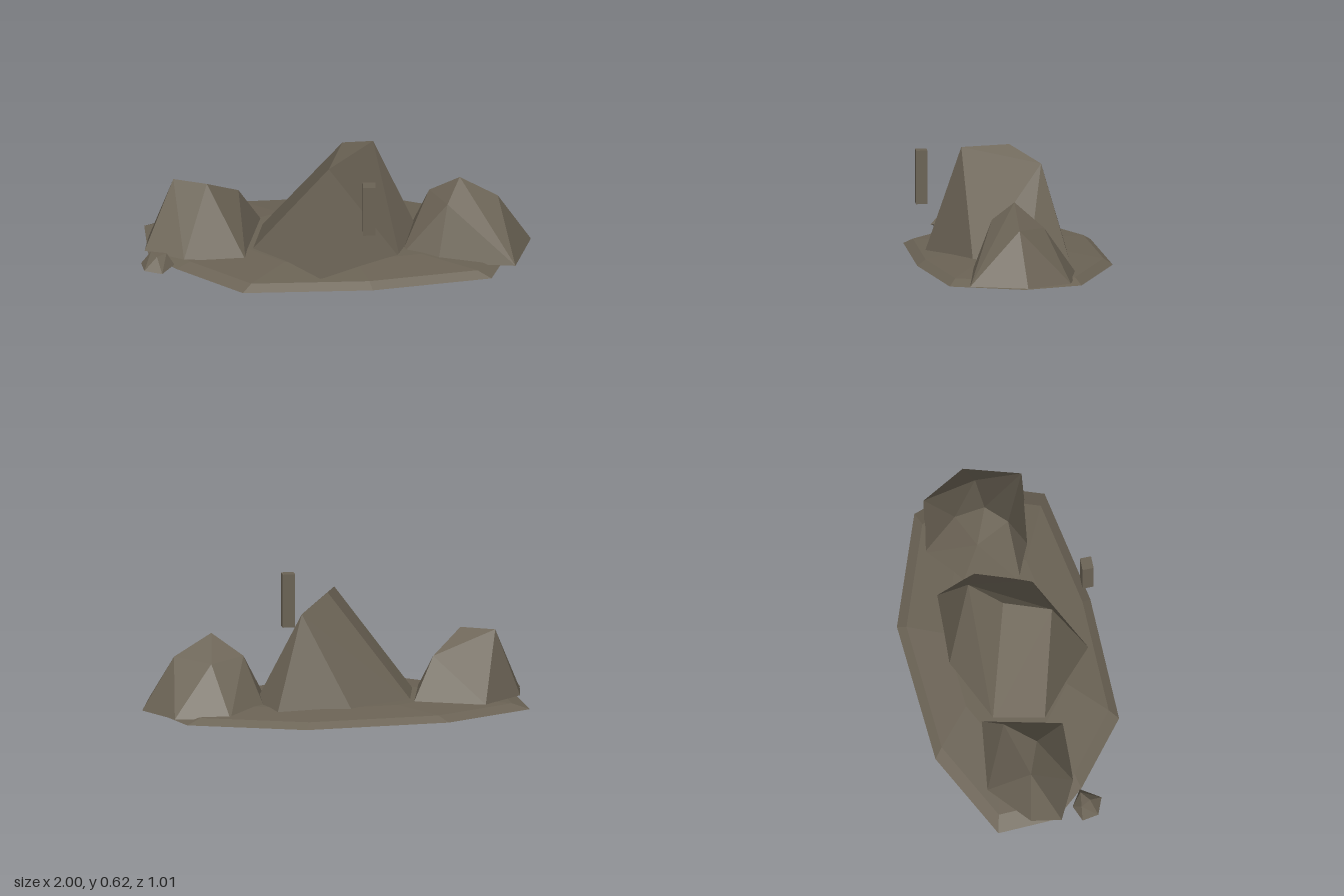
import * as THREE from 'three';
import { ConvexGeometry } from 'three/addons/geometries/ConvexGeometry.js';

export function createModel() {
  const model = new THREE.Group();
  model.name = 'rockIsland';
  const stone = new THREE.MeshStandardMaterial({ color: 0x6b6355, flatShading: true });
  stone.name = 'stone';

  const add = (name, geometry) => {
    const mesh = new THREE.Mesh(geometry, stone);
    mesh.name = name;
    model.add(mesh);
    return mesh;
  };
  // A faceted boulder: a foot ring [x, z] at one height, crown points and a buried tip
  const boulder = (name, footY, foot, crown, tip) => add(name, new ConvexGeometry([
    ...foot.map(([x, z]) => new THREE.Vector3(x, footY, z)),
    ...crown.map(p => new THREE.Vector3(...p)),
    new THREE.Vector3(...tip),
  ]));

  // Low, slightly domed ground slab
  const rim = [[-0.975, -0.225], [-0.515, -0.46], [0.23, -0.51], [0.815, -0.3], [0.92, 0],
    [0.79, 0.375], [0.18, 0.49], [-0.485, 0.505], [-0.82, 0.24], [-0.96, 0.08]];
  const slab = [];
  for (const [x, z] of rim) {
    slab.push(new THREE.Vector3(x, 0.015, z));
    slab.push(new THREE.Vector3(x * 0.91, 0.045, z * 0.91));
    slab.push(new THREE.Vector3(x * 0.55, 0.07, z * 0.55));
  }
  add('groundSlab', new ConvexGeometry(slab));

  // Tall middle boulder
  boulder('middleBoulder', 0.05,
    [[-0.085, 0.425], [-0.44, 0.125], [-0.385, -0.135], [-0.045, -0.295],
      [0.345, -0.28], [0.43, -0.06], [0.325, 0.215]],
    [[-0.04, 0.59, 0.245], [0.035, 0.615, 0.005], [0.195, 0.54, -0.145]],
    [0, 0, 0.01]);

  // Flat-topped boulder on the -x side
  boulder('rightBoulder', 0.05,
    [[-0.37, -0.2], [-0.745, -0.235], [-0.955, -0.05], [-0.98, 0.105], [-0.78, 0.205], [-0.465, 0.22]],
    [[-0.83, 0.395, -0.025], [-0.66, 0.4, 0.04], [-0.495, 0.285, -0.1]],
    [-0.67, 0, 0.01]);

  // Pointed boulder on the +x side
  boulder('leftBoulder', 0.035,
    [[0.59, -0.295], [0.87, -0.24], [1, -0.01], [0.915, 0.28], [0.52, 0.24], [0.33, 0.16], [0.38, -0.14]],
    [[0.635, 0.42, 0.03], [0.48, 0.31, -0.04], [0.57, 0.32, 0.14], [0.83, 0.305, 0.02], [0.66, 0.29, -0.12]],
    [0.64, 0, 0.01]);

  // Small loose stone at the front corner
  boulder('looseStone', 0.035,
    [[-1, 0.21], [-0.915, 0.175], [-0.83, 0.23], [-0.895, 0.33], [-0.985, 0.295]],
    [[-0.95, 0.105, 0.215], [-0.87, 0.1, 0.225], [-0.92, 0.1, 0.265]],
    [-0.93, 0, 0.25]);

  // Upright post hovering before the middle boulder
  add('post', new THREE.BoxGeometry(0.065, 0.278, 0.058)).position.set(0.162, 0.477, 0.468);

  return model;
}
